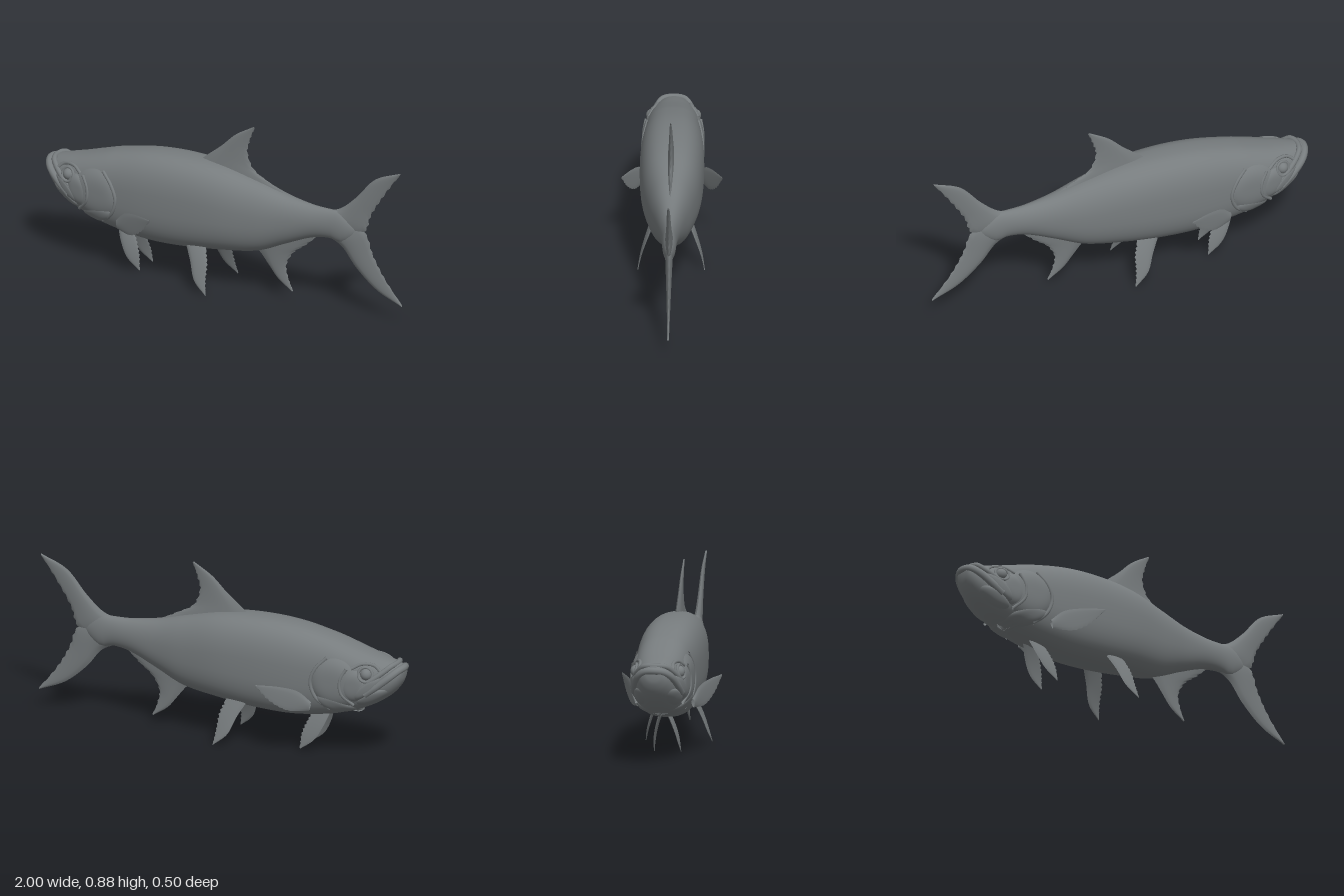
import * as THREE from 'three';

const skin = new THREE.MeshStandardMaterial({ color: 0x777c7e, side: THREE.DoubleSide });
skin.name = 'grey skin';

// Body stations: x, top, bottom, half width, squareness
const STATIONS = [
  [-0.985, 0.50, 0.44, 0.035, 2], [-0.97, 0.508, 0.405, 0.06, 2.1], [-0.93, 0.52, 0.355, 0.085, 2.2],
  [-0.87, 0.535, 0.31, 0.107, 2.4], [-0.8, 0.553, 0.272, 0.124, 2.5], [-0.7, 0.583, 0.235, 0.136, 2.6],
  [-0.6, 0.612, 0.207, 0.143, 2.6], [-0.4, 0.65, 0.181, 0.157, 2.6], [-0.2, 0.66, 0.185, 0.158, 2.6],
  [0, 0.645, 0.205, 0.145, 2.5], [0.2, 0.598, 0.235, 0.11, 2.3], [0.35, 0.556, 0.3, 0.077, 2.2],
  [0.5, 0.533, 0.362, 0.05, 2], [0.6, 0.53, 0.378, 0.038, 2], [0.66, 0.53, 0.365, 0.034, 2],
  [0.71, 0.5, 0.39, 0.024, 2], [0.75, 0.46, 0.43, 0.006, 2],
];

// Smooth interpolation between stations
function station(x) {
  const S = STATIONS, last = S.length - 1;
  let i = 0;
  while (i < last - 1 && x > S[i + 1][0]) i++;
  const a = S[i], b = S[i + 1], p = S[Math.max(i - 1, 0)], q = S[Math.min(i + 2, last)];
  const d = b[0] - a[0], t = THREE.MathUtils.clamp((x - a[0]) / d, 0, 1);
  return a.map((v, k) => {
    const m0 = (b[k] - p[k]) / (b[0] - p[0]) * d, m1 = (q[k] - v) / (q[0] - a[0]) * d;
    const t2 = t * t, t3 = t2 * t;
    return v * (2 * t3 - 3 * t2 + 1) + m0 * (t3 - 2 * t2 + t) + b[k] * (3 * t2 - 2 * t3) + m1 * (t3 - t2);
  });
}

// Half width of the body at a point of its side
function sideZ(x, y) {
  const [, top, bottom, w, n] = station(x);
  const k = Math.min(1, Math.abs((y - (top + bottom) / 2) / ((top - bottom) / 2)));
  return w * Math.pow(1 - Math.pow(k, n), 1 / n);
}

// Grid surface from a rule f(u index, v index) -> [x, y, z]
function grid(nu, nv, f, closed = false) {
  const pos = [], idx = [], cols = closed ? nv : nv + 1;
  for (let i = 0; i <= nu; i++) for (let j = 0; j < cols; j++) pos.push(...f(i, j));
  for (let i = 0; i < nu; i++) for (let j = 0; j < nv; j++) {
    const k = (j + 1) % cols;
    const a = i * cols + j, b = a + cols, c = i * cols + k, d = c + cols;
    idx.push(a, b, c, b, d, c);
  }
  const g = new THREE.BufferGeometry();
  g.setAttribute('position', new THREE.Float32BufferAttribute(pos, 3));
  g.setIndex(idx);
  g.computeVertexNormals();
  return g;
}

function mesh(name, geometry) {
  const m = new THREE.Mesh(geometry, skin);
  m.name = name;
  return m;
}

const curve = pts => new THREE.CatmullRomCurve3(pts.map(p => new THREE.Vector3(p[0], p[1], p[2] || 0)));

// Lens-section fin between a leading and a trailing edge, root first
function fin(name, lead, trail, thick, bend = () => 0) {
  const A = curve(lead), B = curve(trail), NU = 32, NV = 10;
  const group = new THREE.Group();
  group.name = name;
  for (const s of [1, -1]) {
    group.add(mesh(name + (s > 0 ? 'LeftFace' : 'RightFace'), grid(NU, NV, (i, j) => {
      const u = i / NU, v = j / NV;
      const p = A.getPoint(u).lerp(B.getPoint(u), v);
      // ragged trailing edge
      if (j === NV && i > 4 && i < NU - 1) p.x -= 0.008 * (i % 3) / 2;
      const t = thick * (0.2 + 0.8 * Math.pow(1 - u, 1.2)) * Math.sqrt(Math.sin(Math.PI * Math.min(v, 1))  || 0)
        * (1 - 0.5 * v);
      return [p.x, p.y, bend(p.x, p.y) + s * (Number.isFinite(t) ? t : 0)];
    })));
  }
  return group;
}

// Raised oval plate laid on the side of the head
function plate(name, cx, cy, rx, ry, tilt, bump) {
  const NU = 10, NV = 36, c = Math.cos(tilt), s = Math.sin(tilt);
  return mesh(name, grid(NU, NV, (i, j) => {
    const r = i / NU, a = j / NV * Math.PI * 2;
    const px = rx * r * Math.cos(a), py = ry * r * Math.sin(a);
    const x = cx + px * c - py * s, y = cy + px * s + py * c;
    return [x, y, sideZ(x, y) - 0.004 + (bump + 0.004) * (1 - Math.pow(r, 5))];
  }, true));
}

// Fleshy ridge following the side of the head
function ridge(name, pts, radius, lift = 0) {
  const path = curve(pts.map(([x, y]) => [x, y, sideZ(x, y) + lift]));
  return mesh(name, new THREE.TubeGeometry(path, 28, radius, 8));
}

// Lip wrapping around the snout from one cheek to the other
function lip(name, half, radius) {
  const left = half.map(([x, y, z]) => [x, y, z ?? sideZ(x, y)]);
  const right = left.slice(0, -1).reverse().map(([x, y, z]) => [x, y, -z]);
  return mesh(name, new THREE.TubeGeometry(curve([...left, ...right]), 56, radius, 10));
}

export function createModel() {
  const fish = new THREE.Group();
  fish.name = 'fish';

  // Body, closed to a point at both ends
  const NU = 80, NV = 48;
  fish.add(mesh('body', grid(NU, NV, (i, j) => {
    const e = THREE.MathUtils.clamp((i - 1) / (NU - 2), 0, 1);
    const [x, top, bottom, w, n] = station(-0.985 + 1.735 * Math.pow(e, 1.25));
    const k = i === 0 || i === NU ? 0 : 1, a = j / NV * Math.PI * 2;
    const pw = v => Math.sign(v) * Math.pow(Math.abs(v), 2 / n);
    return [x, (top + bottom) / 2 + k * (top - bottom) / 2 * pw(Math.sin(a)), k * w * pw(Math.cos(a))];
  }, true)));

  // Jaws
  fish.add(lip('lowerLip', [[-0.82, 0.365], [-0.88, 0.41], [-0.94, 0.46], [-0.968, 0.485, 0.045], [-0.98, 0.492, 0]], 0.019));
  fish.add(lip('upperLip', [[-0.8, 0.4], [-0.86, 0.445], [-0.91, 0.485], [-0.935, 0.507, 0.055], [-0.948, 0.512, 0]], 0.014));

  // Middle fins
  fish.add(fin('dorsalFin',
    [[-0.16, 0.63], [-0.1, 0.68], [-0.02, 0.745], [0.06, 0.82], [0.16, 0.88]],
    [[0.36, 0.545], [0.26, 0.6], [0.165, 0.655], [0.13, 0.74], [0.145, 0.81], [0.167, 0.875]], 0.024));
  fish.add(fin('analFin',
    [[0.15, 0.26], [0.2, 0.22], [0.25, 0.16], [0.3, 0.1], [0.38, 0.045]],
    [[0.53, 0.38], [0.46, 0.31], [0.39, 0.255], [0.35, 0.18], [0.362, 0.11], [0.385, 0.05]], 0.022));
  fish.add(fin('upperTailFin',
    [[0.57, 0.52], [0.65, 0.545], [0.74, 0.62], [0.85, 0.74], [0.99, 0.8]],
    [[0.62, 0.4], [0.79, 0.445], [0.83, 0.545], [0.9, 0.66], [0.99, 0.79]], 0.03));
  fish.add(fin('lowerTailFin',
    [[0.57, 0.39], [0.66, 0.345], [0.74, 0.25], [0.86, 0.15], [1.0, 0.09]],
    [[0.62, 0.5], [0.79, 0.45], [0.84, 0.335], [0.9, 0.23], [1.0, 0.1]], 0.03));

  // Paired parts, built on the left and mirrored
  for (const s of [1, -1]) {
    const side = new THREE.Group();
    side.name = s > 0 ? 'leftSide' : 'rightSide';
    side.add(fin('throatFin',
      [[-0.6, 0.23], [-0.565, 0.14], [-0.52, 0.065], [-0.45, 0.012]],
      [[-0.51, 0.22], [-0.475, 0.16], [-0.45, 0.09], [-0.445, 0.015]], 0.012,
      (x, y) => 0.066 - 0.9 * y * y - 0.02 * y));
    side.add(fin('pelvicFin',
      [[-0.18, 0.24], [-0.13, 0.15], [-0.09, 0.06], [-0.02, 0]],
      [[-0.06, 0.23], [-0.032, 0.16], [-0.026, 0.08], [-0.018, 0.004]], 0.014,
      (x, y) => 0.165 - 0.2 * y - 0.6 * y * y));
    side.add(fin('pectoralFin',
      [[-0.54, 0.29], [-0.48, 0.345], [-0.4, 0.368], [-0.29, 0.378]],
      [[-0.53, 0.245], [-0.43, 0.247], [-0.35, 0.295], [-0.288, 0.37]], 0.011,
      (x, y) => 0.14 + 0.45 * (x + 0.53)));

    // Gill covers and cheek bones
    side.add(plate('gillCover', -0.67, 0.4, 0.128, 0.14, -0.25, 0.012));
    side.add(plate('gillFlap', -0.665, 0.285, 0.11, 0.045, 0.35, 0.012));
    side.add(plate('cheek', -0.765, 0.4, 0.065, 0.09, 0.3, 0.014));
    side.add(plate('jawBone', -0.83, 0.395, 0.1, 0.032, -0.75, 0.016));
    side.add(plate('chin', -0.85, 0.345, 0.09, 0.032, -0.5, 0.01));
    side.add(ridge('gillEdge', [[-0.62, 0.53], [-0.565, 0.47], [-0.54, 0.4], [-0.565, 0.32], [-0.63, 0.26]], 0.009));
    side.add(ridge('cheekEdge', [[-0.73, 0.49], [-0.7, 0.43], [-0.705, 0.36], [-0.76, 0.3]], 0.008, 0.01));
    side.add(ridge('brow', [[-0.9, 0.48], [-0.86, 0.51], [-0.8, 0.515], [-0.75, 0.49]], 0.009));

    // Eye with its rim
    const z = sideZ(-0.825, 0.468);
    const eye = mesh('eye', new THREE.SphereGeometry(0.03, 24, 16));
    eye.position.set(-0.825, 0.468, z - 0.008);
    const rim = mesh('eyeRim', new THREE.TorusGeometry(0.036, 0.007, 8, 28));
    rim.position.set(-0.825, 0.468, z + 0.002);
    rim.rotation.set(-0.3, -0.25, 0);
    side.add(eye, rim);
    side.scale.z = s;
    fish.add(side);
  }
  return fish;
}
